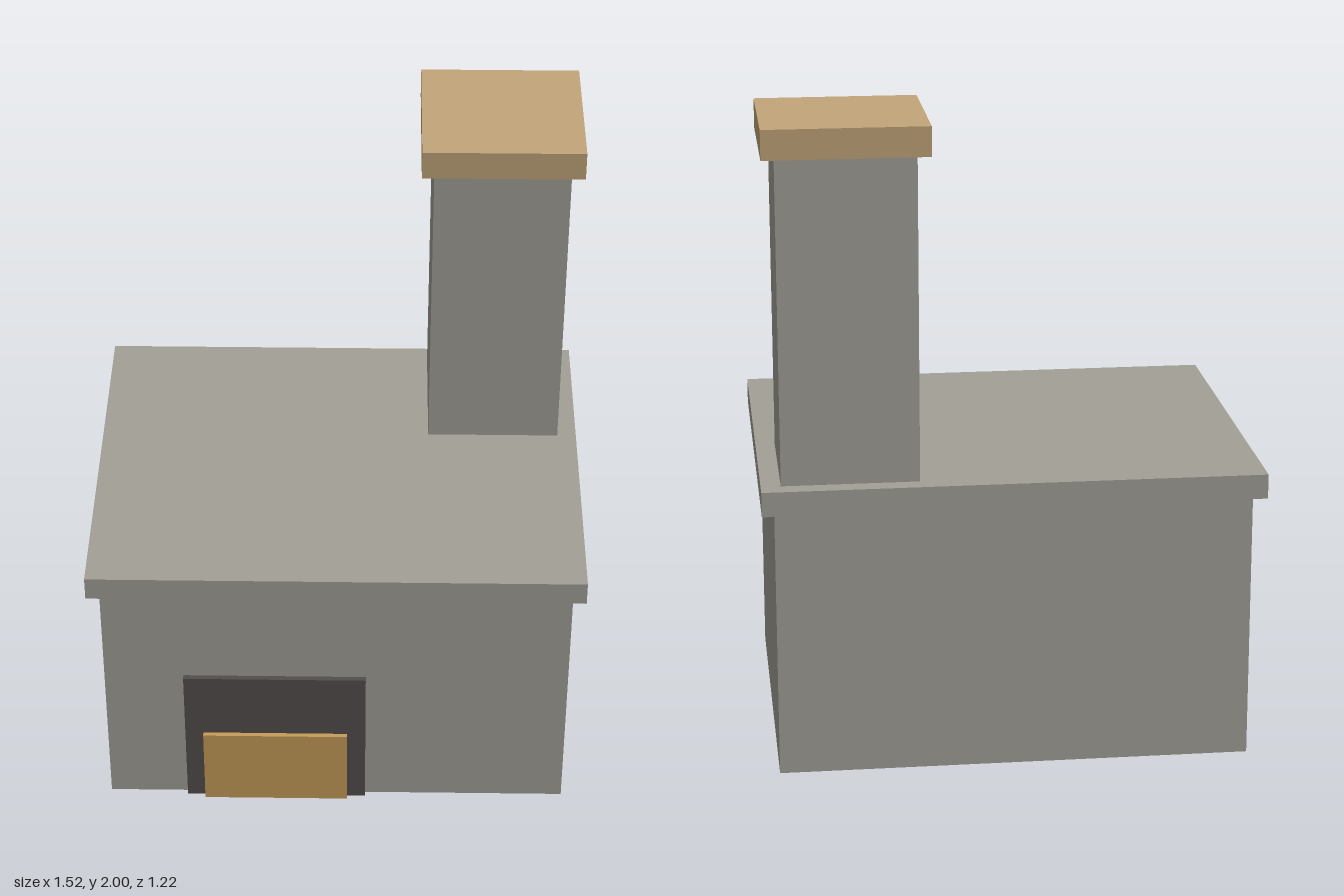
import * as THREE from 'three';

const material = (name, color) => {
  const m = new THREE.MeshStandardMaterial({ color });
  m.name = name;
  return m;
};

export function createModel() {
  const group = new THREE.Group();
  group.name = 'masonryOven';

  const stone = material('stone grey', 0xa3a097);
  const clay = material('clay tan', 0xc2a57a);
  const soot = material('soot black', 0x524e4d);
  const ember = material('ember orange', 0xc89d59);

  // Box given by its extents on each axis
  const block = (name, mat, [x0, x1], [y0, y1], [z0, z1]) => {
    const mesh = new THREE.Mesh(new THREE.BoxGeometry(x1 - x0, y1 - y0, z1 - z0), mat);
    mesh.position.set((x0 + x1) / 2, (y0 + y1) / 2, (z0 + z1) / 2);
    mesh.name = name;
    group.add(mesh);
  };

  // Oven body and overhanging top slab
  block('body', stone, [-0.724, 0.724], [0, 0.84], [-0.57, 0.57]);
  block('topSlab', stone, [-0.762, 0.762], [0.84, 0.916], [-0.608, 0.608]);

  // Chimney at the back left corner, with its cap
  block('chimney', stone, [0.286, 0.702], [0.916, 1.91], [-0.552, -0.134]);
  block('chimneyCap', clay, [0.248, 0.741], [1.91, 2], [-0.592, -0.099]);

  // Firebox opening and the glow inside it, as plates on the front
  block('fireboxOpening', soot, [-0.477, 0.093], [0, 0.497], [0.57, 0.587]);
  block('fireGlow', ember, [-0.42, 0.035], [0, 0.27], [0.587, 0.602]);

  return group;
}
